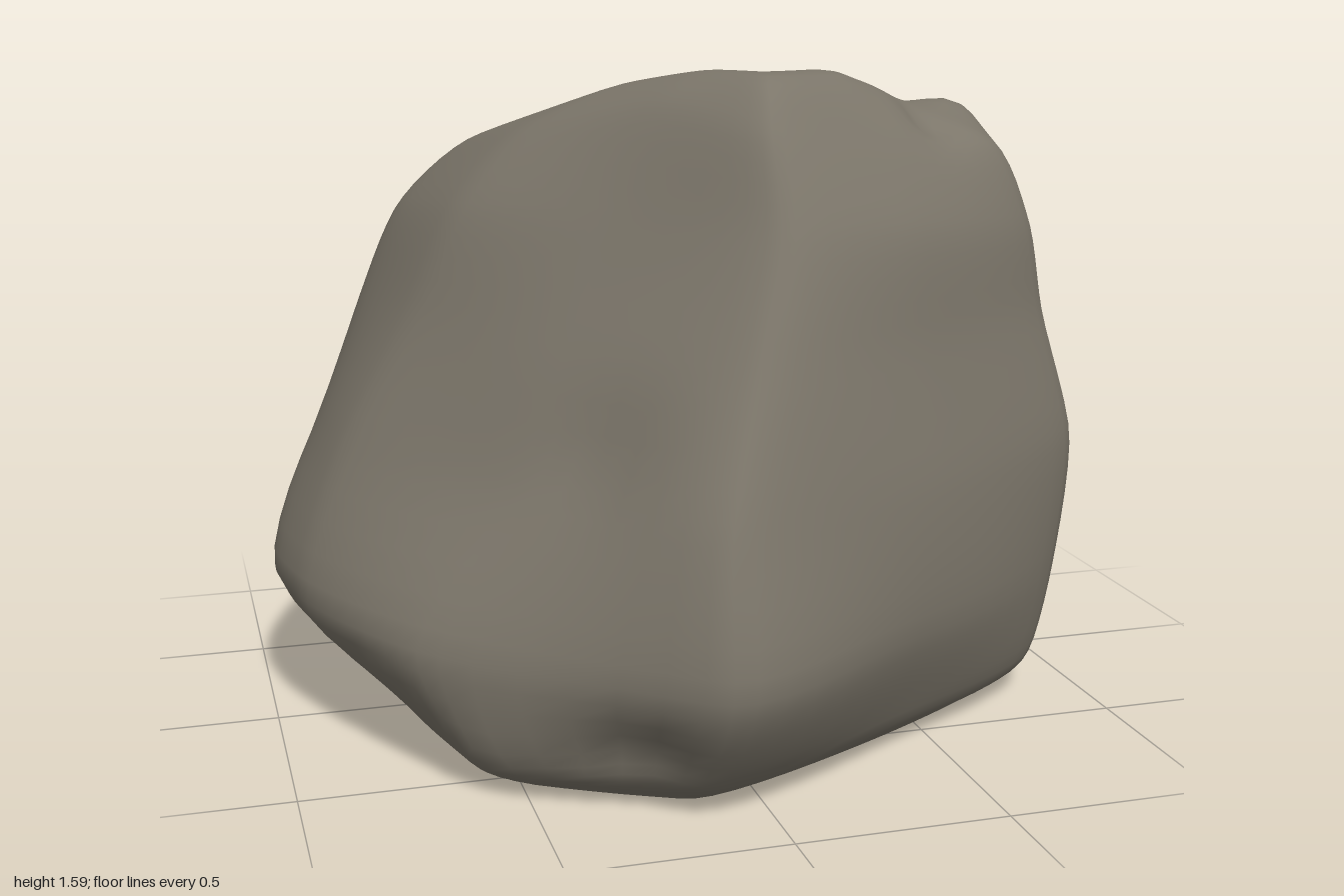
import * as THREE from 'three';

// Level sections: height, then x,z of ten corners (front tip, round by +x, back tip, round by -x)
const BODY = [
  [0.02, -0.15, 0.75, 0.35, 0.55, 0.74, 0.3, 0.82, -0.1, 0.68, -0.56, 0.26, -0.72, -0.22, -0.64, -0.6, -0.3, -0.66, 0.1, -0.54, 0.5],
  [0.1, -0.16, 0.87, 0.4, 0.62, 0.86, 0.32, 0.91, -0.15, 0.78, -0.64, 0.27, -0.84, -0.25, -0.71, -0.7, -0.35, -0.73, 0.12, -0.6, 0.55],
  [0.34, -0.14, 1.0, 0.44, 0.7, 0.92, 0.33, 0.93, -0.2, 0.84, -0.72, 0.27, -0.91, -0.32, -0.77, -0.96, -0.27, -0.94, 0.08, -0.72, 0.5],
  [0.68, -0.12, 0.93, 0.44, 0.69, 0.96, 0.32, 0.95, -0.17, 0.8, -0.67, 0.27, -0.99, -0.33, -0.78, -0.82, -0.41, -0.82, 0, -0.5, 0.48],
  [1.0, -0.02, 0.8, 0.41, 0.63, 0.87, 0.31, 0.88, -0.12, 0.74, -0.61, 0.28, -0.97, -0.3, -0.77, -0.71, -0.42, -0.66, 0, -0.35, 0.42],
];
// Sloping sections of the crown: x,y,z of the same ten corners
const CROWN = [
  [0.06, 1.27, 0.69, 0.41, 1.25, 0.58, 0.82, 1.22, 0.31, 0.83, 1.25, -0.08, 0.69, 1.22, -0.56, 0.29, 1.17, -0.84, -0.22, 1.19, -0.74, -0.6, 1.22, -0.45, -0.53, 1.25, 0, -0.24, 1.28, 0.37],
  [0.07, 1.47, 0.58, 0.38, 1.46, 0.46, 0.73, 1.41, 0.28, 0.76, 1.43, -0.03, 0.58, 1.38, -0.49, 0.3, 1.32, -0.65, -0.11, 1.36, -0.62, -0.42, 1.38, -0.45, -0.37, 1.44, -0.02, -0.12, 1.51, 0.32],
  [0.1, 1.59, 0.45, 0.32, 1.59, 0.33, 0.48, 1.53, 0.2, 0.56, 1.47, 0.02, 0.47, 1.43, -0.28, 0.28, 1.43, -0.36, 0, 1.44, -0.32, -0.22, 1.48, -0.18, -0.15, 1.55, 0.07, 0, 1.59, 0.27],
];
// Local dents (negative) and bumps: x, y, z, radius, depth
const DENTS = [
  [-0.28, 0.16, 0.82, 0.11, -0.05], [0.57, 1.47, 0.3, 0.08, -0.04], [-0.3, 0.75, 0.62, 0.16, -0.04],
  [-0.55, 0.14, 0.6, 0.12, 0.03], [0.67, 1.45, 0.06, 0.1, 0.05], [-0.35, 0.4, -0.78, 0.12, -0.04],
  [0.56, 0.85, -0.83, 0.16, -0.03], [0.55, 0.2, -0.82, 0.11, -0.04],
];
const AROUND = 80, UP = 44;
const PEAK = new THREE.Vector3(0.16, 1.57, 0.08);

function cornersOf(section, level) {
  const step = level ? 2 : 3, pts = [];
  for (let k = level ? 1 : 0; k < section.length; k += step) {
    pts.push(level
      ? new THREE.Vector3(section[k], section[0], section[k + 1])
      : new THREE.Vector3(section[k], section[k + 1], section[k + 2]));
  }
  return pts;
}

// Push the surface in or out by a faint waviness and the local dents
function weather(p) {
  const out = new THREE.Vector3(p.x, (p.y - 0.7) * 0.8, p.z).normalize();
  const fade = Math.min(1, p.y / 0.15);
  let d = 0.005 * fade * (Math.sin(9 * p.x + 5 * p.y) + Math.sin(8 * p.z - 7 * p.y + 2) * Math.cos(6 * p.x));
  for (const [x, y, z, r, depth] of DENTS) {
    const q = (p.x - x) ** 2 + (p.y - y) ** 2 + (p.z - z) ** 2;
    d += depth * Math.exp(-q / (r * r));
  }
  return p.addScaledVector(out, d);
}

function geometryFrom(positions, index) {
  const g = new THREE.BufferGeometry();
  g.setAttribute('position', new THREE.Float32BufferAttribute(positions, 3));
  g.setIndex(index);
  g.computeVertexNormals();
  return g;
}

export function createModel() {
  const stone = new THREE.MeshStandardMaterial({ color: 0x7c766a });
  stone.name = 'grey brown stone';

  // Rounded closed outline for each section
  const sections = [...BODY.map(s => cornersOf(s, true)), ...CROWN.map(s => cornersOf(s, false))];
  const outlines = sections.map(c => new THREE.CatmullRomCurve3(c, true, 'catmullrom', 0.3));

  // Loft the outlines from the foot to the crown
  const pos = [], index = [];
  const columns = [];
  for (let i = 0; i < AROUND; i++) {
    const rail = outlines.map(o => o.getPoint(i / AROUND));
    rail.push(rail[rail.length - 1].clone().lerp(PEAK, 0.8));
    columns.push(new THREE.CatmullRomCurve3(rail, false, 'catmullrom', 0.4));
  }
  for (let j = 0; j <= UP; j++) {
    for (let i = 0; i < AROUND; i++) pos.push(...weather(columns[i].getPoint(j / UP)).toArray());
  }
  for (let j = 0; j < UP; j++) {
    for (let i = 0; i < AROUND; i++) {
      const n = (i + 1) % AROUND;
      const a = j * AROUND + i, b = j * AROUND + n;
      index.push(a, b, b + AROUND, a, b + AROUND, a + AROUND);
    }
  }
  const tip = pos.length / 3;
  pos.push(...PEAK.toArray());
  for (let i = 0; i < AROUND; i++) index.push(UP * AROUND + i, UP * AROUND + (i + 1) % AROUND, tip);

  // Underside, closing the foot of the loft with a crisp edge
  const basePos = pos.slice(0, AROUND * 3), baseIndex = [];
  basePos.push(0.04, 0.01, 0);
  for (let i = 0; i < AROUND; i++) baseIndex.push((i + 1) % AROUND, i, AROUND);

  const boulder = new THREE.Mesh(geometryFrom(pos, index), stone);
  boulder.name = 'boulder';
  const underside = new THREE.Mesh(geometryFrom(basePos, baseIndex), stone);
  underside.name = 'underside';

  const group = new THREE.Group();
  group.name = 'rock';
  group.add(boulder, underside);
  return group;
}
